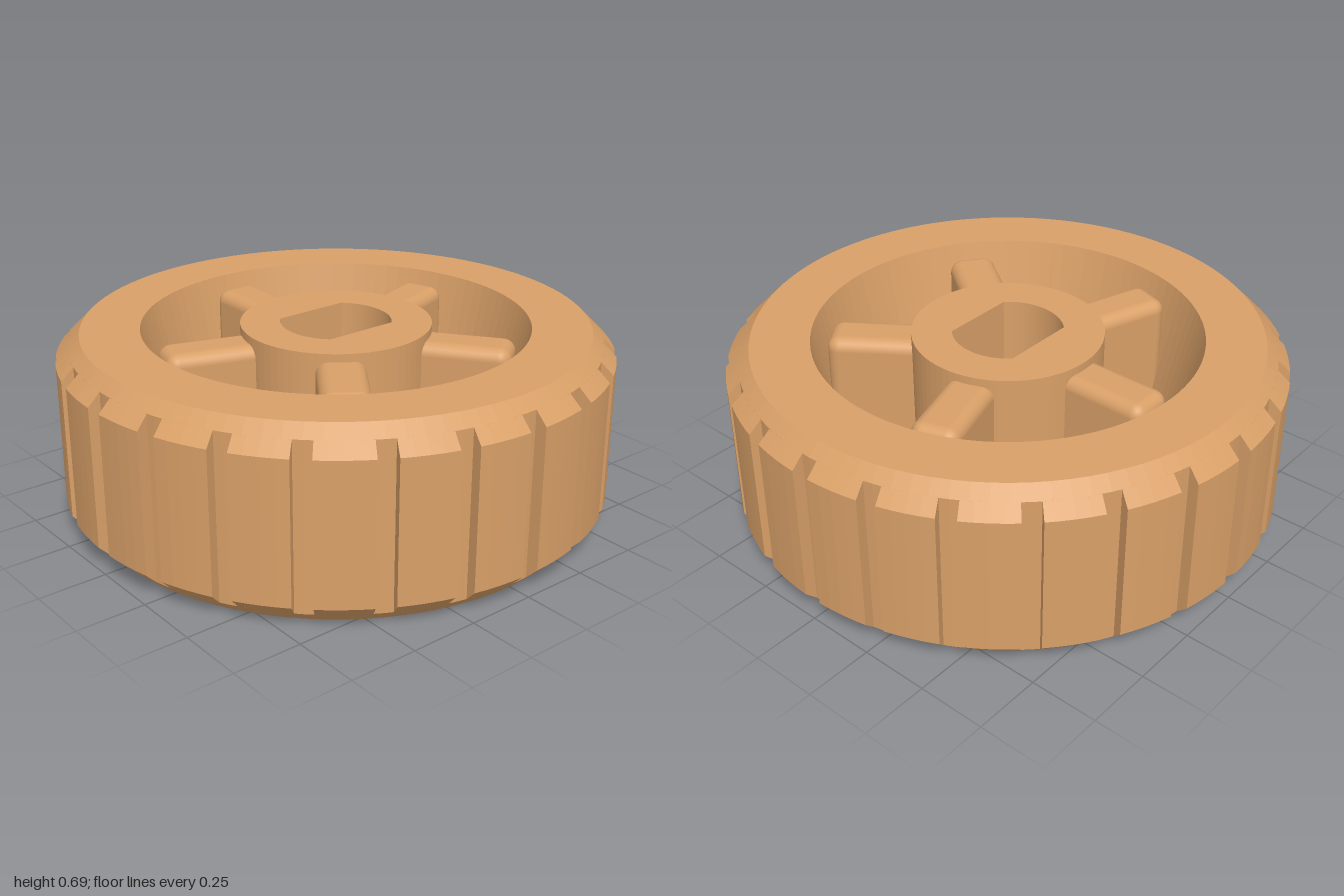
import * as THREE from 'three';
import { RoundedBoxGeometry } from 'three/addons/geometries/RoundedBoxGeometry.js';

const HEIGHT = 0.685, FLOOR = 0.2, HUB_R = 0.345;
const GROOVES = 24, GROOVE_HALF = 0.034, GROOVE_R = 0.955;

const points = (list) => list.map(([x, y]) => new THREE.Vector2(x, y));

export function createModel() {
  const wheel = new THREE.Group();
  wheel.name = 'wheel';
  const tan = new THREE.MeshStandardMaterial({ color: 0xd9a068 });

  const add = (parent, name, geometry) => {
    const mesh = new THREE.Mesh(geometry, tan);
    mesh.name = name;
    parent.add(mesh);
    return mesh;
  };
  // faceted surface of revolution
  const lathe = (profile, segments, start = 0, length = Math.PI * 2) => {
    const geometry = new THREE.LatheGeometry(points(profile), segments, start, length).toNonIndexed();
    geometry.computeVertexNormals();
    return geometry;
  };

  // wheel body: base, groove floor, upper rim, sloping recess and its floor
  add(wheel, 'body', lathe([
    [HUB_R - 0.005, 0], [0.913, 0], [GROOVE_R, 0.042], [GROOVE_R, 0.643], [0.913, HEIGHT],
    [0.7, HEIGHT], [0.587, FLOOR], [HUB_R - 0.005, FLOOR],
  ], 96));

  // tread blocks between the grooves
  const tread = new THREE.Group();
  tread.name = 'tread';
  wheel.add(tread);
  const blockProfile = [[GROOVE_R, 0.042], [1, 0.087], [1, 0.598], [GROOVE_R, 0.643]];
  const step = (Math.PI * 2) / GROOVES;
  const block = lathe(blockProfile, 4, GROOVE_HALF, step - 2 * GROOVE_HALF);
  // groove walls: the end facing back and the end facing forward round the rim
  const startWall = new THREE.ShapeGeometry(new THREE.Shape(points(blockProfile)));
  startWall.rotateY(GROOVE_HALF - Math.PI / 2);
  const mirrored = blockProfile.map(([x, y]) => [-x, y]);
  const endWall = new THREE.ShapeGeometry(new THREE.Shape(points(mirrored)));
  endWall.rotateY(step - GROOVE_HALF + Math.PI / 2);
  for (let i = 0; i < GROOVES; i++) {
    const lug = new THREE.Group();
    lug.name = 'treadBlock';
    lug.rotation.y = i * step;
    add(lug, 'blockFace', block);
    add(lug, 'grooveWallStart', startWall);
    add(lug, 'grooveWallEnd', endWall);
    tread.add(lug);
  }

  // hub with a double-flat axle hole right through
  const hubShape = new THREE.Shape().absarc(0, 0, HUB_R, 0, Math.PI * 2);
  const flat = Math.asin(0.142 / 0.2);
  const hole = new THREE.Path();
  hole.absarc(0, 0, 0.2, -flat, flat);
  hole.absarc(0, 0, 0.2, Math.PI - flat, Math.PI + flat);
  hole.closePath();
  hubShape.holes.push(hole);
  const hub = new THREE.ExtrudeGeometry(hubShape, { depth: HEIGHT, bevelEnabled: false, curveSegments: 36 });
  hub.rotateX(-Math.PI / 2);
  add(wheel, 'hub', hub);

  // five rounded spokes running from the hub into the recess wall
  const top = 0.655, bottom = 0.1, inner = 0.29, outer = 0.645;
  const spoke = new RoundedBoxGeometry(0.175, top - bottom, outer - inner, 4, 0.045);
  spoke.translate(0, (top + bottom) / 2, -(inner + outer) / 2);
  for (let i = 0; i < 5; i++) {
    add(wheel, 'spoke', spoke).rotation.y = (i * Math.PI * 2) / 5;
  }

  return wheel;
}
